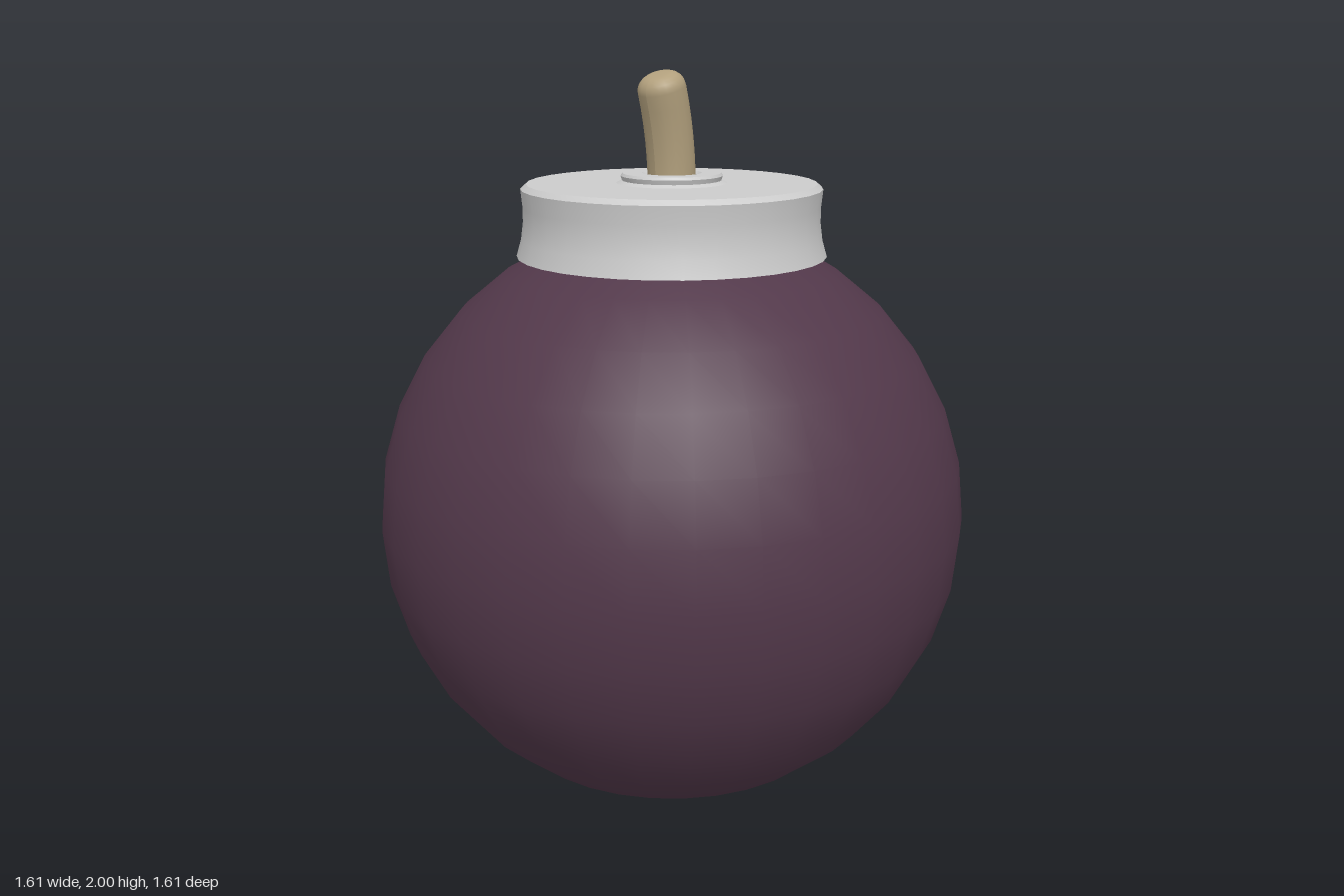
import * as THREE from 'three';
import { toCreasedNormals } from 'three/addons/utils/BufferGeometryUtils.js';

const SEGMENTS = 32;

// Turned solid with crisp edges where the profile bends sharply
function turned(profile, segments = SEGMENTS) {
  const points = profile.map(([r, y]) => new THREE.Vector2(r, y));
  return toCreasedNormals(new THREE.LatheGeometry(points, segments), 0.5);
}

// Leans a vertical rod towards +z along a circular arc
function bendForward(geometry, length, angle) {
  const pos = geometry.attributes.position;
  const radius = length / angle;
  for (let i = 0; i < pos.count; i++) {
    const a = pos.getY(i) / radius;
    const arm = radius - pos.getZ(i);
    pos.setY(i, arm * Math.sin(a));
    pos.setZ(i, radius - arm * Math.cos(a));
  }
  geometry.computeVertexNormals();
  return geometry;
}

export function createModel() {
  const group = new THREE.Group();
  const grey = new THREE.MeshStandardMaterial({ color: 0xcccccc });
  const shell = new THREE.MeshStandardMaterial({ color: 0x52384a });
  const cord = new THREE.MeshStandardMaterial({ color: 0xb2a07d });

  const add = (name, geometry, material, y = 0) => {
    const mesh = new THREE.Mesh(geometry, material);
    mesh.name = name;
    mesh.position.y = y;
    group.add(mesh);
  };

  // Round body
  add('body', new THREE.SphereGeometry(0.805, SEGMENTS, 16), shell, 0.807);

  // Cap with a flared foot, a slightly waisted wall and a bevelled rim
  add('cap', turned([
    [0.34, 1.52], [0.415, 1.52], [0.402, 1.565], [0.396, 1.61],
    [0.396, 1.65], [0.401, 1.698], [0.386, 1.711], [0, 1.711],
  ]), grey);

  // Small collar with a socket for the fuse
  add('collar', turned([
    [0.149, 1.71], [0.132, 1.718], [0.136, 1.73], [0.131, 1.737],
    [0.079, 1.737], [0.07, 1.73], [0.07, 1.705],
  ]), grey);

  // Bent fuse with a rounded tip
  const length = 0.305, radius = 0.064, round = 0.04;
  const profile = [];
  for (let i = 0; i <= 6; i++) profile.push(new THREE.Vector2(radius, (length - round) * i / 6));
  for (let i = 1; i <= 5; i++) {
    const a = (i / 5) * Math.PI / 2;
    profile.push(new THREE.Vector2(
      radius - round + round * Math.cos(a), length - round + round * Math.sin(a)));
  }
  profile.push(new THREE.Vector2(0, length));
  add('fuse', bendForward(new THREE.LatheGeometry(profile, 20), length, 0.34), cord, 1.693);

  return group;
}
